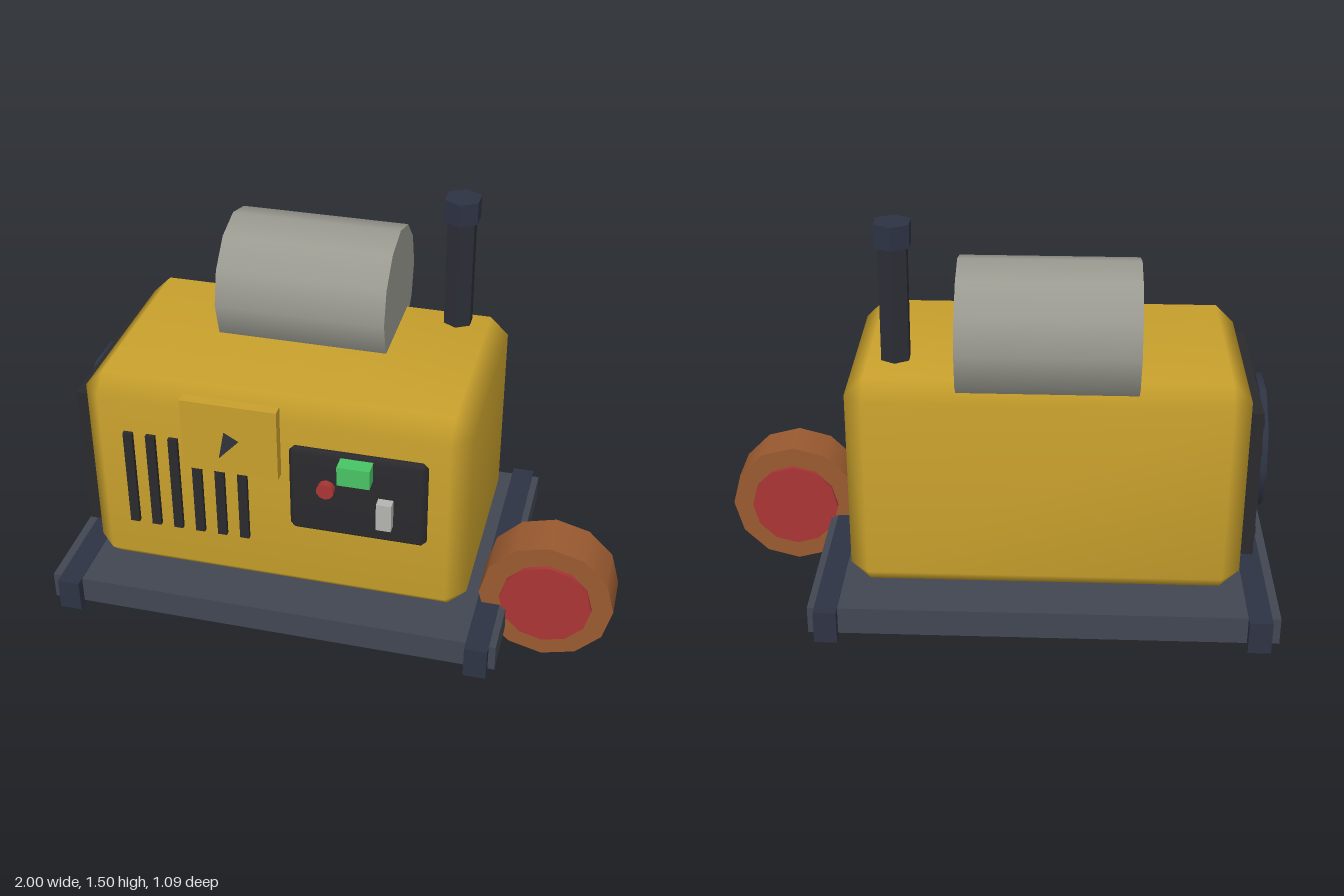
import * as THREE from 'three';
import { mergeVertices } from 'three/addons/utils/BufferGeometryUtils.js';
import { ConvexGeometry } from 'three/addons/geometries/ConvexGeometry.js';

const mat = (color, flatShading = false) => new THREE.MeshStandardMaterial({ color, flatShading });
const yellow = mat(0xc8a02c), grey = mat(0x999990), brown = mat(0x9a5a30), red = mat(0xaa3535);
const black = mat(0x2a2a2e), slate = mat(0x414652), navy = mat(0x2e3344), green = mat(0x48c464);
const pale = mat(0xb4b4b0), pipe = mat(0x2c2e36, true), pipeCap = mat(0x2e3344, true);

// Box with every edge chamfered and softly shaded
function chamferBox(w, h, d, c) {
  const points = [];
  for (const x of [-1, 1]) for (const y of [-1, 1]) for (const z of [-1, 1]) {
    for (let axis = 0; axis < 3; axis++) {
      const inset = [c, c, c];
      inset[axis] = 0;
      points.push(new THREE.Vector3(
        x * (w / 2 - inset[0]), y * (h / 2 - inset[1]), z * (d / 2 - inset[2])));
    }
  }
  let geometry = new ConvexGeometry(points);
  geometry.deleteAttribute('normal');
  geometry = mergeVertices(geometry);
  geometry.computeVertexNormals();
  return geometry;
}

// Cylinder along the chosen axis
function cylinder(radius, length, sides, axis) {
  const geometry = new THREE.CylinderGeometry(radius, radius, length, sides);
  if (axis === 'x') geometry.rotateZ(Math.PI / 2);
  if (axis === 'z') geometry.rotateX(Math.PI / 2);
  return geometry;
}

export function createModel() {
  const model = new THREE.Group();
  model.name = 'generator';
  const add = (name, geometry, material, x, y, z, parent = model) => {
    const mesh = new THREE.Mesh(geometry, material);
    mesh.name = name;
    mesh.position.set(x, y, z);
    parent.add(mesh);
    return mesh;
  };
  const box = (w, h, d) => new THREE.BoxGeometry(w, h, d);
  const group = (name) => {
    const g = new THREE.Group();
    g.name = name;
    model.add(g);
    return g;
  };

  // Skid base with a cross rail at each end
  add('baseSlab', box(1.625, 0.1, 1.02), slate, -0.188, 0.14, -0.003);
  for (const x of [-0.93, 0.56]) add('crossRail', box(0.08, 0.12, 1.087), navy, x, 0.132, -0.003);

  // Housing
  add('housing', chamferBox(1.355, 0.78, 0.813, 0.066), yellow, -0.19, 0.6, -0.003);

  // Tank and exhaust on top
  add('tank', cylinder(0.244, 0.605, 12, 'x'), grey, -0.19, 1.12, -0.207);
  const exhaust = group('exhaust');
  add('exhaustPipe', cylinder(0.054, 0.4, 6, 'y'), pipe, 0.32, 1.22, -0.24, exhaust);
  add('exhaustCap', cylinder(0.067, 0.08, 6, 'y'), pipeCap, 0.32, 1.46, -0.24, exhaust);

  // Wheel with a hub showing on both faces
  const wheel = group('wheel');
  add('tyre', cylinder(0.237, 0.17, 12, 'z'), brown, 0.76, 0.238, 0.2, wheel);
  add('hub', cylinder(0.162, 0.2, 12, 'z'), red, 0.76, 0.238, 0.2, wheel);

  // Radiator with slats and a fan disc on the end
  const radiator = group('radiator');
  add('radiatorPanel', box(0.045, 0.543, 0.678), black, -0.887, 0.613, -0.004, radiator);
  for (let i = 0; i < 5; i++) {
    add('slat', box(0.02, 0.032, 0.58), black, -0.91, 0.405 + i * 0.104, -0.004, radiator);
  }
  add('fanDisc', cylinder(0.243, 0.024, 10, 'x'), navy, -0.937, 0.613, -0.004, radiator);

  // Front vents
  for (let i = 0; i < 6; i++) {
    add('vent', box(0.033, 0.375, 0.026), black, -0.698 + i * 0.0812, 0.613, 0.406);
  }

  // Plate with a three-sided spike
  add('plate', box(0.336, 0.27, 0.04), yellow, -0.323, 0.85, 0.422);
  const spike = new THREE.ConeGeometry(0.036, 0.11, 3, 1, false, Math.PI / 2).rotateX(Math.PI / 2);
  add('spike', spike, pipe, -0.323, 0.85, 0.492);

  // Control panel
  const controls = group('controlPanel');
  add('panel', chamferBox(0.475, 0.335, 0.045, 0.018), black, 0.117, 0.682, 0.416, controls);
  add('display', box(0.112, 0.072, 0.055), green, 0.116, 0.802, 0.46, controls);
  add('button', cylinder(0.03, 0.035, 10, 'z'), red, 0.013, 0.713, 0.448, controls);
  add('switch', box(0.052, 0.105, 0.045), pale, 0.217, 0.647, 0.452, controls);

  return model;
}
